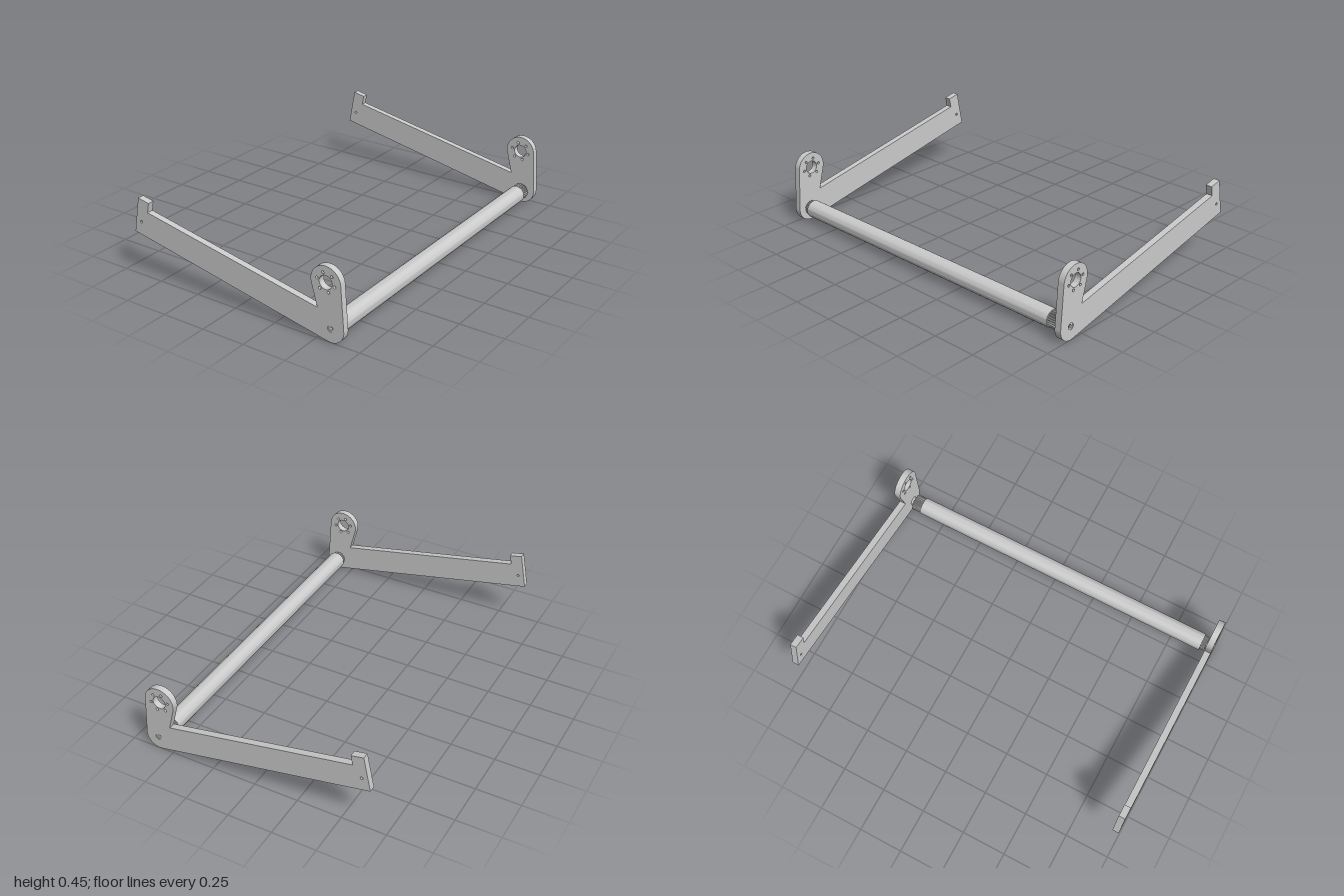
import * as THREE from 'three';
import { toCreasedNormals } from 'three/addons/utils/BufferGeometryUtils.js';

const PIVOT = { x: 0.584, y: 0.076, r: 0.075 };
const HUB = { x: 0.556, y: 0.317, r: 0.0865 };
const rad = THREE.MathUtils.degToRad;
const material = new THREE.MeshStandardMaterial({ color: 0xcccccc });

function part(name, geometry, x = 0, y = 0, z = 0) {
  const mesh = new THREE.Mesh(toCreasedNormals(geometry, 0.6), material);
  mesh.name = name;
  mesh.position.set(x, y, z);
  return mesh;
}

function extrude(shape, depth, curveSegments = 24) {
  return new THREE.ExtrudeGeometry(shape, { depth, bevelEnabled: false, curveSegments });
}

function hole(shape, x, y, r) {
  shape.holes.push(new THREE.Path().absarc(x, y, r, 0, Math.PI * 2, true));
}

// Side arm: sloping bar with an upturned tip and a rounded hub flange
function armShape() {
  const s = new THREE.Shape();
  s.moveTo(-0.622, 0.447);
  s.lineTo(-0.659, 0.249);
  s.absarc(PIVOT.x, PIVOT.y, PIVOT.r, rad(-101.1), rad(4), false);
  s.absarc(HUB.x, HUB.y, HUB.r, rad(4), rad(195), false);
  s.lineTo(0.506, 0.169);
  s.lineTo(-0.563, 0.378);
  s.lineTo(-0.552, 0.433);
  s.closePath();
  hole(s, HUB.x, HUB.y, 0.037);
  for (let i = 0; i < 6; i++) {
    const a = rad(-12 + i * 60);
    hole(s, HUB.x + 0.052 * Math.cos(a), HUB.y + 0.052 * Math.sin(a), 0.0075);
  }
  hole(s, -0.611, 0.314, 0.0075);
  hole(s, PIVOT.x, PIVOT.y, 0.019);
  return s;
}

// Toothed disc outline for the roller ends
function splineShape(outer, inner, teeth) {
  const s = new THREE.Shape();
  for (let i = 0; i < teeth * 4; i++) {
    const a = (i / (teeth * 4)) * Math.PI * 2;
    const r = i % 4 < 2 ? outer : inner;
    s[i ? 'lineTo' : 'moveTo'](r * Math.cos(a), r * Math.sin(a));
  }
  s.closePath();
  return s;
}

// Round bolt with a hexagonal socket, lying along z
function boltShape() {
  const s = new THREE.Shape().absarc(0, 0, 0.019, 0, Math.PI * 2, false);
  const socket = new THREE.Path();
  for (let i = 0; i < 6; i++) {
    const a = -i * Math.PI / 3;
    socket[i ? 'lineTo' : 'moveTo'](0.01 * Math.cos(a), 0.01 * Math.sin(a));
  }
  socket.closePath();
  s.holes.push(socket);
  return s;
}

function rod(r, length) {
  return new THREE.CylinderGeometry(r, r, length, 40).rotateX(Math.PI / 2);
}

export function createModel() {
  const model = new THREE.Group();
  const { x, y } = PIVOT;

  // Matching arms at the two ends
  const arm = extrude(armShape(), 0.037);
  model.add(part('frontArm', arm, 0, 0, 0.963));
  model.add(part('backArm', arm, 0, 0, -1));

  // Roller tube
  model.add(part('rollerTube', rod(0.05, 1.816), x, y, 0.02));

  // Splined end caps, the back one longer
  model.add(part('frontCap', extrude(splineShape(0.042, 0.038, 24), 0.027), x, y, 0.928));
  model.add(part('backCap', extrude(splineShape(0.047, 0.041, 24), 0.057), x, y, -0.945));

  // Bosses, axle ends and bolts that hold the roller in the arms
  for (const [side, name] of [[1, 'front'], [-1, 'back']]) {
    model.add(part(name + 'Boss', rod(0.026, 0.024), x, y, side * 0.951));
    model.add(part(name + 'AxleEnd', rod(0.018, 0.03), x, y, side * 0.968));
    const bolt = extrude(boltShape(), 0.014);
    model.add(part(name + 'Bolt', bolt, x, y, side > 0 ? 0.982 : -0.996));
  }
  return model;
}
